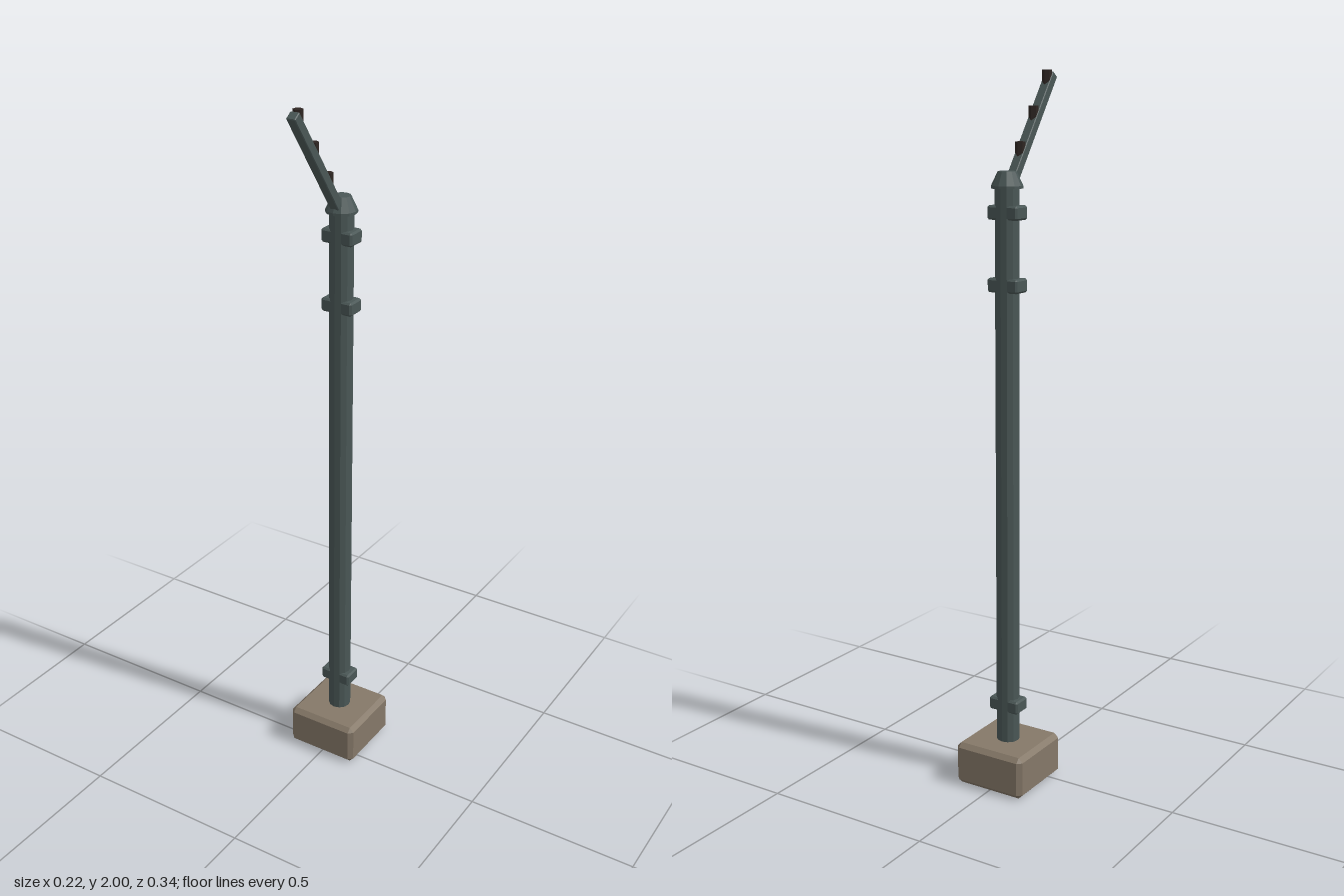
import * as THREE from 'three';
import { ConvexGeometry } from 'three/addons/geometries/ConvexGeometry.js';

const metal = new THREE.MeshStandardMaterial({ color: 0x4a5756, flatShading: true });
const stone = new THREE.MeshStandardMaterial({ color: 0x857868, flatShading: true });
const dark = new THREE.MeshStandardMaterial({ color: 0x2e2522, flatShading: true });

const POLE_Z = -0.062;

// Box with every edge cut by a flat chamfer c
function chamferBox(w, h, d, c) {
  const points = [];
  const x = w / 2, y = h / 2, z = d / 2;
  for (const sx of [-1, 1]) for (const sy of [-1, 1]) for (const sz of [-1, 1]) {
    points.push(
      new THREE.Vector3(sx * x, sy * (y - c), sz * (z - c)),
      new THREE.Vector3(sx * (x - c), sy * y, sz * (z - c)),
      new THREE.Vector3(sx * (x - c), sy * (y - c), sz * z));
  }
  return new ConvexGeometry(points);
}

export function createModel() {
  const model = new THREE.Group();
  model.name = 'post';

  function add(name, geometry, material, y, z) {
    const mesh = new THREE.Mesh(geometry, material);
    mesh.name = name;
    mesh.position.set(0, y, z);
    model.add(mesh);
    return mesh;
  }

  // Footing block and pole
  add('base', chamferBox(0.22, 0.124, 0.22, 0.013), stone, 0.066 - 0.004, POLE_Z);
  add('pole', new THREE.CylinderGeometry(0.033, 0.033, 1.6, 12), metal, 0.9, POLE_Z);

  // Clamps whose lugs stick out on both sides of the pole
  for (const y of [0.233, 1.437, 1.63]) {
    add('clamp', chamferBox(0.095, 0.038, 0.057, 0.005), metal, y, POLE_Z);
  }

  // Faceted cap
  const profile = [[0, 1.693], [0.043, 1.693], [0.043, 1.7], [0.025, 1.738], [0, 1.738]]
    .map(([r, y]) => new THREE.Vector2(r, y));
  add('cap', new THREE.LatheGeometry(profile, 12), metal, 0, POLE_Z);

  // Slanted arm, running forward and up from the cap
  const start = new THREE.Vector2(-0.046, 1.702); // (z, y)
  const end = new THREE.Vector2(0.161, 1.989);
  const along = end.clone().sub(start);
  const arm = add('arm', chamferBox(0.027, along.length(), 0.026, 0.002), metal,
    (start.y + end.y) / 2, (start.x + end.x) / 2);
  arm.rotation.x = Math.atan2(along.x, along.y);

  // Upright hexagonal pegs on the arm
  for (const z of [0.003, 0.07, 0.138]) {
    const y = start.y + (z - start.x) * along.y / along.x;
    add('peg', new THREE.CylinderGeometry(0.0135, 0.0135, 0.04, 6), dark, y + 0.023, z);
  }

  return model;
}
